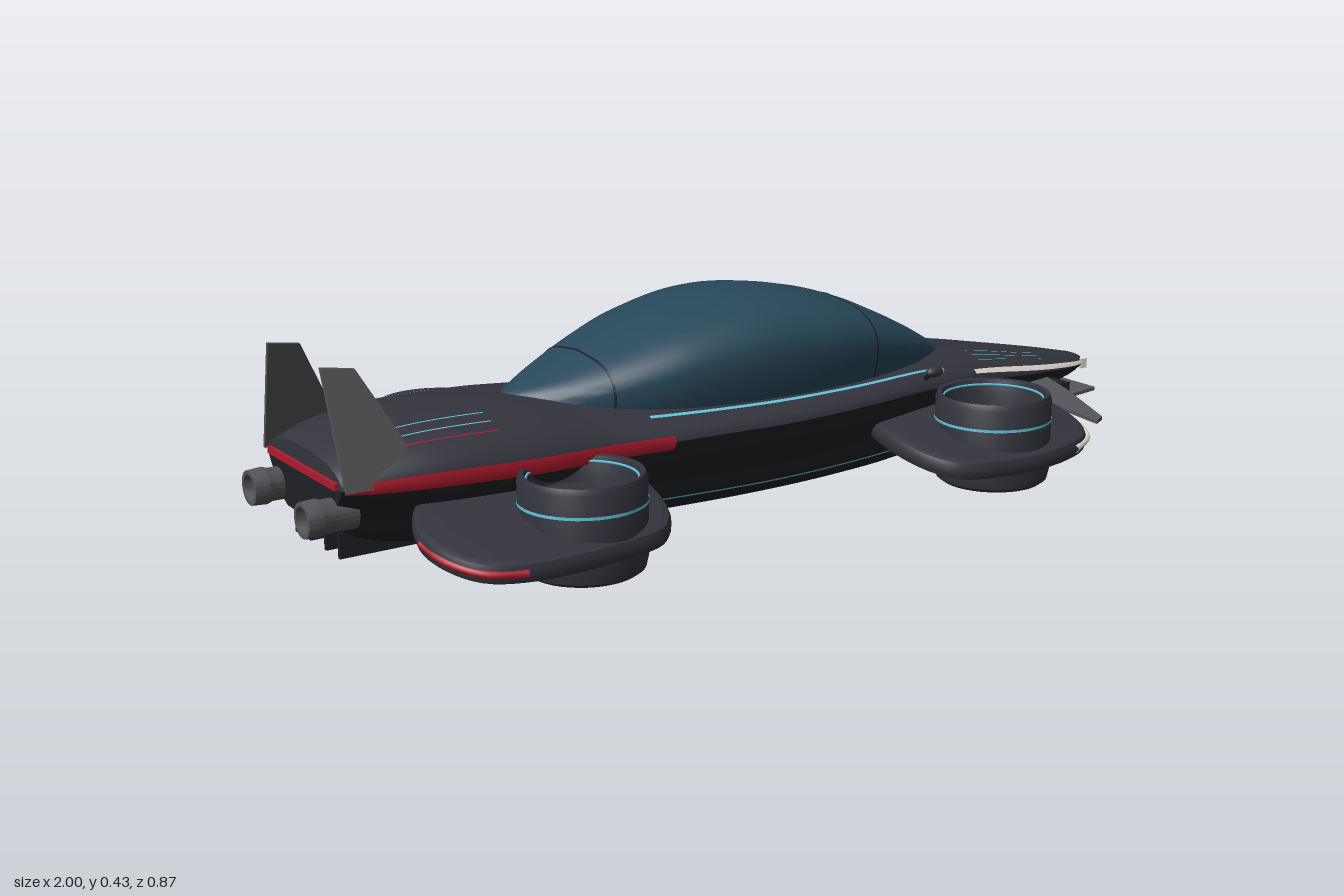
import * as THREE from 'three';
import { toCreasedNormals } from 'three/addons/utils/BufferGeometryUtils.js';

const mat = (color, side = THREE.FrontSide) => new THREE.MeshStandardMaterial({ color, side });
const BODY = mat(0x33343d), DARK = mat(0x202126), GLASS = mat(0x28485a), GREY = mat(0x55565a);
const CYAN = mat(0x62c4dc, THREE.DoubleSide), RED = mat(0xb01c2c, THREE.DoubleSide);
const WHITE = mat(0xe6e0d6, THREE.DoubleSide), GLOW = mat(0x86c6e6, THREE.DoubleSide);

function add(parent, name, geometry, material, x = 0, y = 0, z = 0) {
  const m = new THREE.Mesh(geometry, material);
  m.name = name;
  m.position.set(x, y, z);
  parent.add(m);
  return m;
}

// Smooth lookup in a station table whose first column is x
function station(table, x) {
  let i = 0;
  while (i < table.length - 2 && x > table[i + 1][0]) i++;
  const a = table[i], b = table[i + 1], p = table[Math.max(i - 1, 0)], q = table[Math.min(i + 2, table.length - 1)];
  const h = b[0] - a[0], t = THREE.MathUtils.clamp((x - a[0]) / h, 0, 1);
  return a.map((v, k) => {
    if (k === 0) return x;
    const m0 = (b[k] - p[k]) / (b[0] - p[0]) * h, m1 = (q[k] - v) / (q[0] - a[0]) * h;
    return v * (1 + 2 * t) * (1 - t) ** 2 + m0 * t * (1 - t) ** 2 + b[k] * t * t * (3 - 2 * t) + m1 * t * t * (t - 1);
  });
}

// Skin closed rings that follow each other along +x and cap both ends
function loft(rings, crease) {
  const n = rings[0].length, pos = rings.flat(2), idx = [];
  for (let i = 0; i < rings.length - 1; i++)
    for (let j = 0; j < n; j++) {
      const k = (j + 1) % n, a = i * n + j, b = a + n, c = i * n + k, d = c + n;
      idx.push(a, b, c, b, d, c);
    }
  for (const [r, flip] of [[0, false], [rings.length - 1, true]]) {
    const centre = pos.length / 3;
    for (let k = 0; k < 3; k++) pos.push(rings[r].reduce((s, p) => s + p[k], 0) / n);
    for (let j = 0; j < n; j++) {
      const a = r * n + j, b = r * n + (j + 1) % n;
      idx.push(centre, flip ? b : a, flip ? a : b);
    }
  }
  const g = new THREE.BufferGeometry();
  g.setAttribute('position', new THREE.Float32BufferAttribute(pos, 3));
  g.setIndex(idx);
  return toCreasedNormals(g, crease);
}

// Hull stations: x, half width, top, widest height, bottom
const HULL = [
  [-0.94, 0.165, 0.235, 0.19, 0.1], [-0.88, 0.185, 0.262, 0.19, 0.07], [-0.75, 0.21, 0.28, 0.19, 0.045],
  [-0.55, 0.22, 0.277, 0.185, 0.03], [-0.4, 0.217, 0.265, 0.185, 0.02], [-0.2, 0.242, 0.252, 0.19, 0.015],
  [0, 0.255, 0.245, 0.19, 0.013], [0.2, 0.24, 0.24, 0.19, 0.013], [0.4, 0.2, 0.236, 0.185, 0.018],
  [0.58, 0.165, 0.225, 0.172, 0.045], [0.8, 0.125, 0.185, 0.15, 0.085], [0.92, 0.088, 0.162, 0.137, 0.1],
  [0.98, 0.06, 0.149, 0.131, 0.11], [1, 0.045, 0.145, 0.13, 0.115]];
const LOWER = [[0, 1], [0.25, 0.91], [0.6, 0.74], [0.82, 0.67], [1, 0.5]]; // drop, width
// Point on the hull's +z half: u = 1 roof centre, 0 widest line, -1 floor edge
function hullPoint(x, u, grow = 1) {
  const [, w, top, mid, bot] = station(HULL, x);
  if (u >= 0) {
    const a = u * Math.PI / 2;
    return [x, mid + (top - mid) * Math.sin(a) * grow, w * Math.max(Math.cos(a), 0) ** 0.8 * grow];
  }
  return [x, mid - (mid - bot) * -u * grow, w * station(LOWER, -u)[1] * grow];
}
// Thin band laid on the hull between two u lines
function band(x0, x1, u0, u1, v0 = u0, v1 = u1) {
  const pos = [], idx = [], N = 24;
  for (let i = 0; i <= N; i++) {
    const t = i / N, x = x0 + (x1 - x0) * t;
    for (let j = 0; j <= 2; j++)
      pos.push(...hullPoint(x, THREE.MathUtils.lerp(u0 + (u1 - u0) * j / 2, v0 + (v1 - v0) * j / 2, t), 1.015));
    if (i < N) for (let j = 0; j < 2; j++) {
      const a = i * 3 + j;
      idx.push(a, a + 3, a + 1, a + 3, a + 4, a + 1);
    }
  }
  const g = new THREE.BufferGeometry();
  g.setAttribute('position', new THREE.Float32BufferAttribute(pos, 3));
  g.setIndex(idx);
  g.computeVertexNormals();
  return g;
}
function mirrorRing(half) { // half runs from floor to roof on +z
  return [...half, ...half.slice().reverse().map(([x, y, z]) => [x, y, -z])];
}
const range = (a, b, n) => Array.from({ length: n + 1 }, (_, i) => a + (b - a) * i / n);

// Flat slab from an x,z outline, its top following height(z)
function slab(points, thick, bevel, height, smooth = false) {
  let pts = points.map(([x, z]) => new THREE.Vector3(x, z, 0));
  if (smooth) pts = new THREE.CatmullRomCurve3(pts, true).getPoints(48).slice(0, -1);
  const g = new THREE.ExtrudeGeometry(new THREE.Shape(pts.map(p => new THREE.Vector2(p.x, p.y))), {
    depth: thick - 2 * bevel, bevelEnabled: bevel > 0, bevelSize: bevel, bevelThickness: bevel, bevelOffset: -bevel, bevelSegments: 2 });
  g.rotateX(Math.PI / 2).translate(0, -bevel, 0);
  const p = g.attributes.position;
  for (let i = 0; i < p.count; i++) p.setY(i, p.getY(i) + height(p.getZ(i)));
  return toCreasedNormals(g, 0.6);
}

function createWheel() {
  const wheel = new THREE.Group();
  wheel.name = 'hoverWheel';
  const profile = [[0.098, 0.012], [0.106, 0], [0.117, 0.008], [0.122, 0.03], [0.122, 0.178], [0.117, 0.19],
    [0.109, 0.188], [0.1, 0.15], [0.098, 0.012]].map(p => new THREE.Vector2(...p));
  add(wheel, 'drum', toCreasedNormals(new THREE.LatheGeometry(profile, 40), 0.5), BODY);
  add(wheel, 'sideLight', new THREE.CylinderGeometry(0.1235, 0.1235, 0.006, 40, 1, true), CYAN, 0, 0.136);
  add(wheel, 'rimLight', new THREE.TorusGeometry(0.105, 0.0025, 6, 40).rotateX(Math.PI / 2), CYAN, 0, 0.178);
  add(wheel, 'glowRing', new THREE.RingGeometry(0.04, 0.099, 40).rotateX(Math.PI / 2), GLOW, 0, 0.03);
  add(wheel, 'innerFloor', new THREE.CylinderGeometry(0.099, 0.099, 0.006, 40), DARK, 0, 0.09);
  add(wheel, 'hub', new THREE.CylinderGeometry(0.025, 0.03, 0.12, 20), DARK, 0, 0.072);
  for (let i = 0; i < 12; i++) for (const y of [0.02, 0.12]) {
    const spoke = add(wheel, 'spoke', new THREE.BoxGeometry(0.08, 0.012, 0.014).translate(0.06, 0, 0), y > 0.1 ? GREY : DARK, 0, y);
    spoke.rotation.y = i * Math.PI / 6;
  }
  return wheel;
}

function createSide() {
  const side = new THREE.Group();
  // Sloping fenders with edge lights
  const top = z => 0.15 - 0.23 * (z - 0.15);
  const edge = pts => new THREE.TubeGeometry(new THREE.CatmullRomCurve3(
    pts.map(([x, z]) => new THREE.Vector3(x, top(z) - 0.02, z))), 24, 0.008, 8);
  add(side, 'frontFender', slab([[0.27, 0.14], [0.25, 0.3], [0.3, 0.4], [0.41, 0.43], [0.58, 0.425], [0.68, 0.385],
    [0.71, 0.3], [0.7, 0.2], [0.7, 0.1], [0.5, 0.1]], 0.042, 0.014, top, true), BODY);
  add(side, 'rearFender', slab([[-0.36, 0.15], [-0.35, 0.32], [-0.4, 0.4], [-0.5, 0.425], [-0.7, 0.43], [-0.79, 0.4],
    [-0.835, 0.33], [-0.84, 0.25], [-0.78, 0.15], [-0.55, 0.13]], 0.042, 0.014, top, true), BODY);
  add(side, 'frontFenderLight', edge([[0.7, 0.15], [0.712, 0.28], [0.69, 0.375], [0.62, 0.415]]), WHITE);
  add(side, 'rearFenderLight', edge([[-0.84, 0.27], [-0.828, 0.34], [-0.785, 0.4], [-0.71, 0.427]]), RED);
  for (const x of [-0.52, 0.49]) {
    const wheel = createWheel();
    wheel.position.set(x, 0, 0.298);
    side.add(wheel);
  }
  // Nose winglet
  add(side, 'winglet', slab([[0.7, 0.1], [0.705, 0.39], [0.735, 0.375], [0.8, 0.2], [0.83, 0.09]], 0.008, 0,
    z => 0.13 - 0.07 * (z - 0.15)), GREY);
  // Tail fin leaning inward
  const fin = new THREE.ExtrudeGeometry(new THREE.Shape([[-0.94, 0.19], [-0.8, 0.19], [-0.815, 0.27], [-0.885, 0.4],
    [-0.95, 0.41]].map(p => new THREE.Vector2(...p))), { depth: 0.008, bevelEnabled: false });
  const p = fin.attributes.position;
  for (let i = 0; i < p.count; i++) p.setZ(i, p.getZ(i) + 0.175 - 0.3 * (p.getY(i) - 0.2));
  fin.computeVertexNormals();
  add(side, 'tailFin', fin, GREY);
  // Exhaust with a hollow end
  const pipe = [[0, -0.03], [0.024, -0.03], [0.026, 0], [0.034, 0], [0.036, -0.03], [0.032, -0.04], [0.032, -0.1]]
    .map(q => new THREE.Vector2(...q)).reverse();
  add(side, 'exhaust', toCreasedNormals(new THREE.LatheGeometry(pipe, 24).rotateZ(Math.PI / 2), 0.5), GREY, -1, 0.135, 0.12);
  // Mirror pod
  const arm = new THREE.LineCurve3(new THREE.Vector3(0.4, 0.205, 0.18), new THREE.Vector3(0.375, 0.235, 0.235));
  add(side, 'mirrorArm', new THREE.TubeGeometry(arm, 1, 0.005, 6), DARK);
  add(side, 'mirrorPod', new THREE.SphereGeometry(0.012, 14, 10).scale(1.8, 1, 1), BODY, 0.375, 0.237, 0.24);
  add(side, 'mirrorLight', new THREE.SphereGeometry(0.006, 10, 8), CYAN, 0.395, 0.237, 0.24);
  // Light bands on the hull
  add(side, 'tailBand', band(-0.935, -0.27, -0.09, 0.12), RED);
  add(side, 'shoulderLine', band(-0.3, 0.45, 0.42, 0.46), CYAN);
  add(side, 'headlight', band(0.56, 0.985, 0.2, 0.3, 0.05, 0.3), WHITE);
  add(side, 'sillLine', band(-0.32, 0.35, -0.79, -0.77), CYAN);
  for (const u of [0.5, 0.62, 0.74]) {
    add(side, 'hoodLine', band(0.6, 0.82, u, u + 0.012), CYAN);
    add(side, 'tailLine', band(-0.82, -0.62, u, u + 0.012), u < 0.6 ? RED : CYAN);
  }
  // Rear underside fins
  for (const z of [0.035, 0.095]) add(side, 'diffuserFin', new THREE.BoxGeometry(0.16, 0.05, 0.008), DARK, -0.84, 0.065, z);
  return side;
}

export function createModel() {
  const car = new THREE.Group();
  car.name = 'hoverCar';
  // Hull, roof and floor meeting at the widest line
  const xs = range(-0.94, 1, 72);
  add(car, 'upperHull', loft(xs.map(x => mirrorRing(range(0, 0.985, 12).map(u => hullPoint(x, u)))), 0.6), BODY);
  add(car, 'lowerHull', loft(xs.map(x => mirrorRing(range(-1, 0, 10).map(u => hullPoint(x, u)))), 0.6), DARK);
  // Glass canopy: x, half width, top
  const dome = [[-0.54, 0.012, 0.27], [-0.5, 0.05, 0.283], [-0.42, 0.108, 0.31], [-0.3, 0.163, 0.355], [-0.18, 0.195, 0.396],
    [-0.02, 0.21, 0.425], [0.15, 0.203, 0.41], [0.3, 0.172, 0.365], [0.42, 0.128, 0.31], [0.52, 0.068, 0.255], [0.58, 0.015, 0.222]];
  const section = [[0, 0.88], [0.3, 0.97], [0.5, 1], [0.68, 0.97], [0.85, 0.8], [0.95, 0.5], [1, 0.02]]; // rise, width
  const domeRing = (x, grow = 1) => {
    const [, w, t] = station(dome, x);
    return mirrorRing(range(0, 1, 18).map(k => {
      const r = 1 - (1 - k) ** 1.6;
      return [x, 0.19 + (t - 0.19) * r * grow, w * station(section, r)[1] * grow];
    }));
  };
  add(car, 'canopy', loft(range(-0.54, 0.58, 48).map(x => domeRing(x)), 0.9), GLASS);
  for (const x of [-0.35, 0.27])
    add(car, 'canopySeam', loft([x - 0.002, x + 0.002].map(v => domeRing(v, 1.006)), 0.9), DARK);
  // Nose light, splitter and tail light
  add(car, 'noseLight', new THREE.BoxGeometry(0.02, 0.022, 0.11), WHITE, 0.99, 0.13);
  add(car, 'splitter', new THREE.BoxGeometry(0.26, 0.008, 0.29), GREY, 0.81, 0.086).rotation.z = 0.08;
  add(car, 'intake', new THREE.BoxGeometry(0.2, 0.035, 0.27), DARK, 0.77, 0.102);
  add(car, 'tailLight', new THREE.BoxGeometry(0.01, 0.014, 0.3), RED, -0.942, 0.195);
  const left = createSide(), right = createSide();
  left.name = 'nearSide';
  right.name = 'farSide';
  right.scale.z = -1;
  car.add(left, right);
  return car;
}
